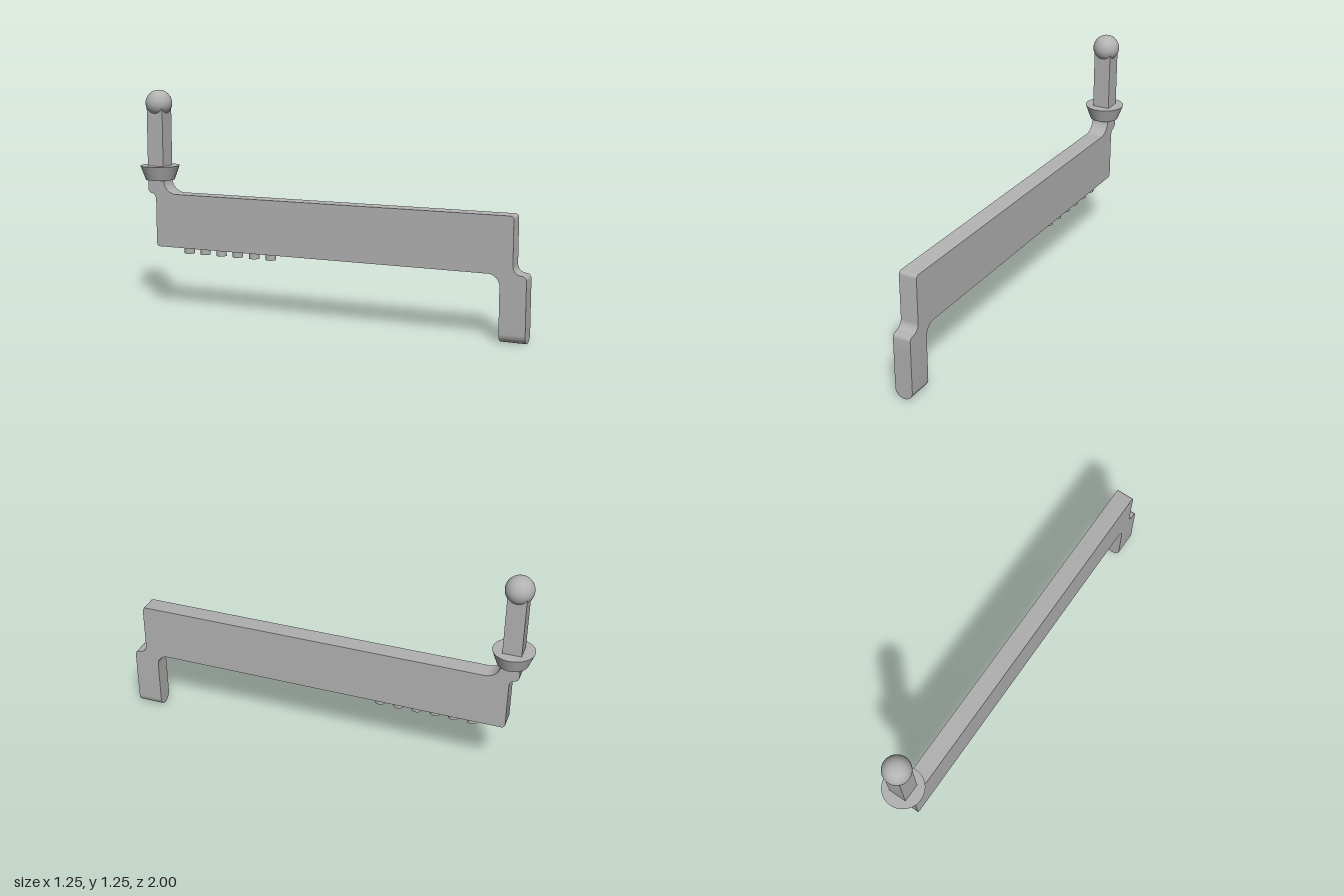
import * as THREE from 'three';
import { toCreasedNormals } from 'three/addons/utils/BufferGeometryUtils.js';

export function createModel() {
  const model = new THREE.Group();
  model.name = 'handleBracket';
  const grey = new THREE.MeshStandardMaterial({ color: 0xb2b2b2 });
  grey.name = 'plain grey';

  // All parts lie along one diagonal: local x runs down the plate, local z is its thickness
  const body = new THREE.Group();
  body.name = 'body';
  body.rotation.y = THREE.MathUtils.degToRad(-59.5);
  model.add(body);

  const thickness = 0.1, offset = -0.005, postX = -1.026;
  const add = (name, geometry, x = 0, y = 0, z = offset) => {
    const mesh = new THREE.Mesh(geometry, grey);
    mesh.name = name;
    mesh.position.set(x, y, z);
    body.add(mesh);
    return mesh;
  };
  const extrude = (shape, depth) => {
    const g = new THREE.ExtrudeGeometry(shape, { depth, bevelEnabled: false, curveSegments: 12 });
    g.translate(0, 0, -depth / 2);
    return toCreasedNormals(g, 0.6);
  };

  // Flat plate with the post at one end and the leg at the other
  const s = new THREE.Shape();
  const quarter = (cx, cy, r, from, cw) =>
    s.absarc(cx, cy, r, from * Math.PI / 2, (from + (cw ? -1 : 1)) * Math.PI / 2, cw);
  s.moveTo(-1.076, 1.15);
  s.lineTo(-1.076, 0.69);
  quarter(-1.051, 0.69, 0.025, 2, false); // step below the post
  s.quadraticCurveTo(-1.026, 0.66, -1.026, 0.62);
  s.lineTo(-1.026, 0.38);
  quarter(-1.006, 0.38, 0.02, 2, false);
  s.lineTo(0.93, 0.36);
  quarter(0.93, 0.295, 0.065, 1, true); // inner fillet of the leg
  s.lineTo(0.995, 0.265);
  s.lineTo(1.135, 0.265);
  s.lineTo(1.135, 0.335);
  quarter(1.11, 0.335, 0.025, 0, false); // shoulder of the leg
  quarter(1.11, 0.407, 0.047, 3, true);
  s.lineTo(1.063, 0.645);
  quarter(1.043, 0.645, 0.02, 0, false);
  s.lineTo(-0.896, 0.665);
  quarter(-0.896, 0.745, 0.08, 3, true); // fillet of the post
  s.lineTo(-0.976, 1.15);
  s.closePath();
  add('plate', extrude(s, thickness));

  // Leg tip, rounded across its thickness
  const tip = new THREE.Shape();
  tip.moveTo(-0.05, 0.265);
  tip.lineTo(-0.05, 0.05);
  tip.absarc(0, 0.05, 0.05, Math.PI, Math.PI * 2, false);
  tip.lineTo(0.05, 0.265);
  tip.closePath();
  add('legTip', extrude(tip, 0.14).rotateY(Math.PI / 2), 1.065);

  // Post fittings
  add('collar', new THREE.CylinderGeometry(0.111, 0.082, 0.08, 48), postX, 0.78);
  add('ballTip', new THREE.SphereGeometry(0.075, 40, 24), postX, 1.175);

  // Row of round pegs underneath
  for (let i = 0; i < 6; i++) {
    add('peg', new THREE.CylinderGeometry(0.029, 0.029, 0.045, 24), -0.841 + i * 0.103, 0.3475);
  }
  return model;
}
